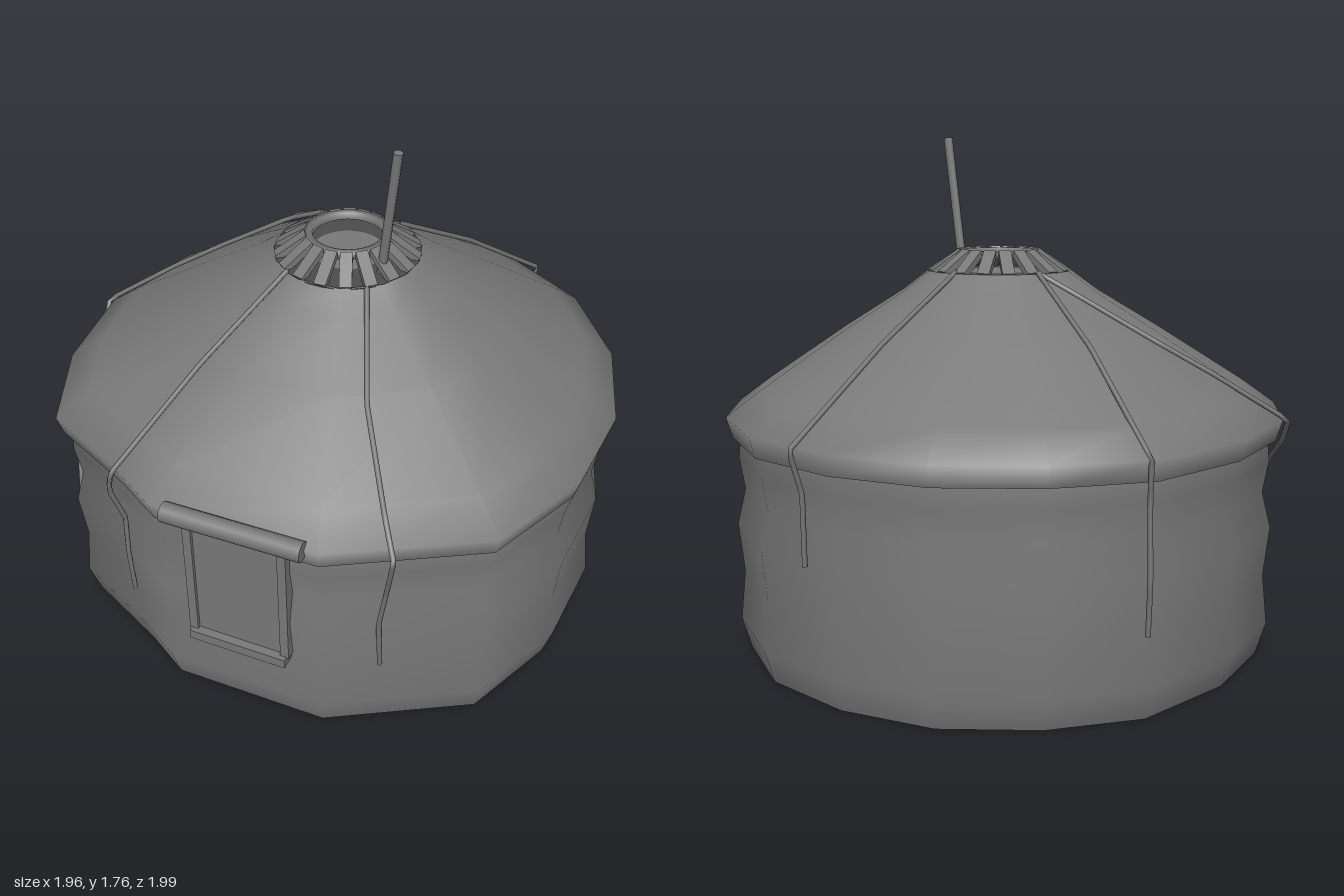
import * as THREE from 'three';

const fabric = new THREE.MeshStandardMaterial({ color: 0x797979, side: THREE.DoubleSide });
const shade = new THREE.MeshStandardMaterial({ color: 0x4c4c4c, side: THREE.DoubleSide });
const V = (p) => new THREE.Vector3(...p);

// Plan of the eave, walked from the front towards +x
const PLAN = [
  [0.03, 0.97], [0.58, 0.78], [0.95, 0.36], [0.98, -0.02], [0.88, -0.38], [0.66, -0.69],
  [0.35, -0.91], [-0.01, -0.985], [-0.36, -0.94], [-0.66, -0.76], [-0.89, -0.5], [-0.98, -0.1],
  [-0.95, 0.28], [-0.78, 0.62], [-0.53, 0.89], [-0.17, 0.93],
];

function add(parent, geometry, name, material = fabric) {
  const mesh = new THREE.Mesh(geometry, material);
  mesh.name = name;
  parent.add(mesh);
  return mesh;
}

// Skin through scaled copies of the plan; rows are [scale, y, roundness]
function loft(rows) {
  const n = PLAN.length, pos = [], index = [];
  rows.forEach(([s, y, round = 0], j) => {
    PLAN.forEach(([x, z], i) => {
      const k = s * (1 - round + round / Math.hypot(x, z));
      pos.push(x * k, y, z * k);
      if (j + 1 < rows.length) {
        const a = j * n + i, b = j * n + (i + 1) % n;
        index.push(a, b, b + n, a, b + n, a + n);
      }
    });
  });
  const g = new THREE.BufferGeometry();
  g.setAttribute('position', new THREE.Float32BufferAttribute(pos, 3));
  g.setIndex(index);
  g.computeVertexNormals();
  return g;
}

// Round bar between two points
function bar(parent, a, b, r, name, sides) {
  const p = V(a), q = V(b), d = q.clone().sub(p);
  const mesh = add(parent, new THREE.CylinderGeometry(r, r, d.length(), sides), name);
  mesh.position.copy(p).add(q).multiplyScalar(0.5);
  mesh.quaternion.setFromUnitVectors(new THREE.Vector3(0, 1, 0), d.normalize());
}

function box(parent, size, at, name) {
  add(parent, new THREE.BoxGeometry(...size), name).position.set(...at);
}

export function createModel() {
  const tent = new THREE.Group();
  tent.name = 'roundTent';

  // Slack fabric wall and overhanging roof, open underneath
  add(tent, loft([[0.93, 0], [0.965, 0.11], [0.948, 0.28], [0.968, 0.45],
    [0.938, 0.57], [0.958, 0.68], [0.95, 0.76]]), 'wall');
  add(tent, loft([[0.978, 0.75], [1, 0.82], [0.88, 0.905], [0.57, 1.1, 0.4],
    [0.345, 1.235, 0.8], [0.25, 1.305, 1]]), 'roof');
  add(tent, loft([[0.945, 0.75], [0.978, 0.75]]), 'eaveUnderside');

  // Crown: shaded floor, leaning spokes and top ring
  const crown = new THREE.Group();
  crown.name = 'crown';
  tent.add(crown);
  const cap = add(crown, new THREE.CircleGeometry(0.125, 32), 'crownCap');
  const gap = add(crown, new THREE.RingGeometry(0.125, 0.25, 32), 'crownFloor', shade);
  for (const m of [cap, gap]) {
    m.rotation.x = -Math.PI / 2;
    m.position.y = 1.302;
  }
  const spokes = 18;
  for (let i = 0; i < spokes; i++) {
    const spoke = new THREE.Group();
    spoke.rotation.y = (i / spokes) * Math.PI * 2;
    crown.add(spoke);
    const m = add(spoke, new THREE.BoxGeometry(0.042, 0.022, 0.125), 'crownSpoke');
    m.position.set(0, 1.335, 0.19);
    m.rotation.x = 0.6;
  }
  const ring = [[0.12, 1.35], [0.145, 1.35], [0.145, 1.375], [0.12, 1.375], [0.12, 1.35]];
  add(crown, new THREE.LatheGeometry(ring.map(([x, y]) => new THREE.Vector2(x, y)), 32), 'crownRing');

  // Stove pipe
  bar(tent, [0.175, 1.3, 0.03], [0.24, 1.76, 0.035], 0.016, 'stovePipe', 8);

  // Doorway on the flat front panel of the wall
  const door = new THREE.Group();
  door.name = 'doorway';
  door.position.set(0.287, 0, 0.832);
  door.rotation.y = 0.333;
  tent.add(door);
  box(door, [0.31, 0.45, 0.03], [0, 0.53, 0.008], 'doorPanel');
  for (const s of [-1, 1]) box(door, [0.03, 0.45, 0.05], [s * 0.165, 0.53, 0.01], 'doorJamb');
  box(door, [0.345, 0.035, 0.08], [0, 0.292, 0.012], 'doorSill');

  // Rolled door flap
  bar(tent, [0.09, 0.82, 0.96], [0.54, 0.82, 0.8], 0.034, 'rolledFlap', 12);

  // Ropes from the crown over the eave and down the wall
  const ropes = [
    [[-0.05, 1.31, 0.24], [-0.1, 1.1, 0.6], [-0.16, 0.83, 0.96], [-0.18, 0.75, 0.96],
      [-0.178, 0.6, 0.91], [-0.17, 0.45, 0.92], [-0.17, 0.28, 0.91]],
    [[0.19, 1.31, 0.12], [0.44, 1.1, 0.4], [0.69, 0.92, 0.6], [0.77, 0.82, 0.65],
      [0.72, 0.64, 0.62], [0.69, 0.48, 0.62], [0.685, 0.28, 0.605]],
    [[0.02, 1.31, -0.24], [0.06, 1.1, -0.6], [0.11, 0.82, -0.995], [0.1, 0.68, -0.95],
      [0.1, 0.45, -0.945]],
    [[-0.23, 1.31, -0.12], [-0.54, 1.1, -0.31], [-0.865, 0.82, -0.525], [-0.855, 0.68, -0.51],
      [-0.865, 0.45, -0.52], [-0.855, 0.28, -0.51]],
    [[-0.23, 1.31, -0.12], [-0.37, 1.24, -0.1], [-0.6, 1.09, 0.02], [-0.76, 0.98, 0.13],
      [-0.965, 0.82, 0.29], [-0.92, 0.74, 0.36], [-0.78, 0.62, 0.6], [-0.7, 0.46, 0.7],
      [-0.64, 0.28, 0.76]],
  ];
  for (const pts of ropes) {
    const path = new THREE.CurvePath();
    for (let i = 1; i < pts.length; i++) path.add(new THREE.LineCurve3(V(pts[i - 1]), V(pts[i])));
    add(tent, new THREE.TubeGeometry(path, 40, 0.009, 5), 'rope');
  }
  return tent;
}
